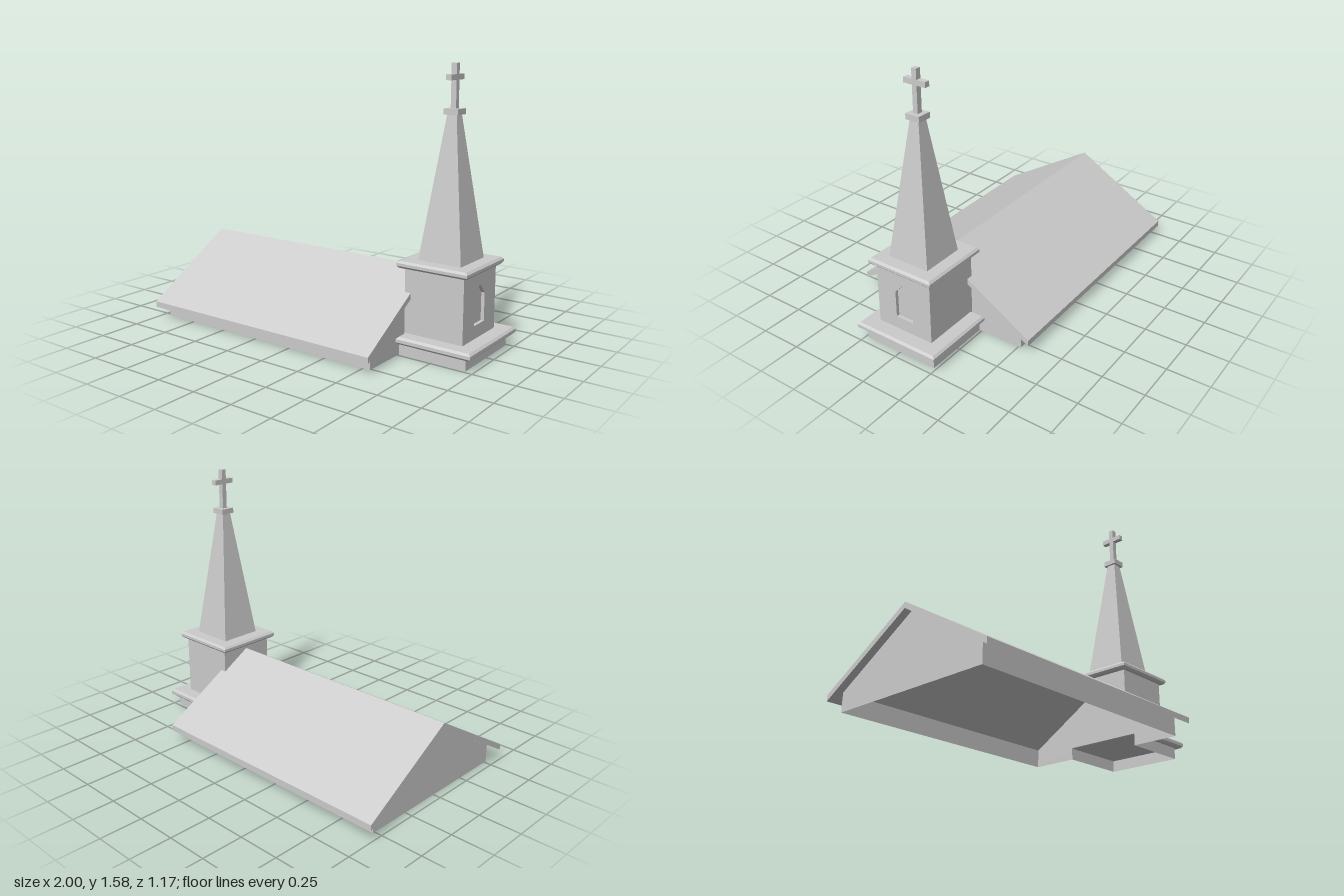
import * as THREE from 'three';

const TOWER_X = 0.725;

export function createModel() {
  const model = new THREE.Group();
  const solid = new THREE.MeshStandardMaterial({ color: 0xcccccc, flatShading: true });
  const sheet = new THREE.MeshStandardMaterial({ color: 0xcccccc, flatShading: true, side: THREE.DoubleSide });

  const add = (name, geometry, material = solid) => {
    const mesh = new THREE.Mesh(geometry, material);
    mesh.name = name;
    model.add(mesh);
    return mesh;
  };
  const outline = (points) => new THREE.Shape(points.map(([x, y]) => new THREE.Vector2(x, y)));
  const box = (name, x0, x1, y0, y1, halfZ) =>
    add(name, new THREE.BoxGeometry(x1 - x0, y1 - y0, 2 * halfZ))
      .position.set((x0 + x1) / 2, (y0 + y1) / 2, 0);
  // Section drawn across z and y, drawn out along x
  const alongX = (name, shape, x0, x1) =>
    add(name, new THREE.ExtrudeGeometry(shape, { depth: x1 - x0, bevelEnabled: false })
      .rotateY(Math.PI / 2).translate(x0, 0, 0));
  // Flat sheet facing along x
  const sheetAtX = (name, shape, x) =>
    add(name, new THREE.ShapeGeometry(shape).rotateY(Math.PI / 2).translate(x, 0, 0), sheet);
  // Wall sheet running along x
  const sideWall = (name, x0, x1, height, z) =>
    add(name, new THREE.PlaneGeometry(x1 - x0, height), sheet)
      .position.set((x0 + x1) / 2, height / 2, z);
  // Slab with chamfered edges
  const ledge = (name, x0, x1, y0, y1, halfZ) => {
    const b = 0.012;
    const shape = outline([[x0 + b, -halfZ + b], [x1 - b, -halfZ + b], [x1 - b, halfZ - b], [x0 + b, halfZ - b]]);
    const geometry = new THREE.ExtrudeGeometry(shape, {
      depth: y1 - y0 - 2 * b, bevelThickness: b, bevelSize: b, bevelSegments: 1,
    });
    add(name, geometry.rotateX(-Math.PI / 2).translate(0, y0 + b, 0));
  };

  // Nave roof
  alongX('naveRoof', outline([
    [-0.587, 0.065], [0, 0.415], [0.587, 0.065], [0.587, 0.1], [0, 0.45], [-0.587, 0.1],
  ]), -1, 0.582);

  // Nave walls, open underneath; the front gable opens into the tower base
  sheetAtX('backGable', outline([
    [-0.515, 0], [0.515, 0], [0.515, 0.107], [0, 0.415], [-0.515, 0.107],
  ]), -0.955);
  sheetAtX('frontGable', outline([
    [-0.515, 0], [-0.235, 0], [-0.235, 0.07], [0.235, 0.07], [0.235, 0],
    [0.515, 0], [0.515, 0.107], [0, 0.415], [-0.515, 0.107],
  ]), 0.545);
  for (const side of [-1, 1]) {
    sideWall('naveSideWall', -0.955, 0.545, 0.107, side * 0.515);
    sideWall('towerBaseSideWall', 0.545, 0.955, 0.075, side * 0.235);
  }

  // Tower base front and ledge
  sheetAtX('towerBaseFront', outline([[-0.235, 0], [0.235, 0], [0.235, 0.075], [-0.235, 0.075]]), 0.955);
  ledge('towerBaseLedge', 0.545, 0.997, 0.068, 0.11, 0.27);

  // Tower body with a recessed pointed window in its front
  box('towerBody', 0.545, 0.885, 0.1, 0.485, 0.182);
  const front = outline([[-0.182, 0.1], [0.182, 0.1], [0.182, 0.485], [-0.182, 0.485]]);
  front.holes.push(outline([
    [-0.057, 0.185], [-0.057, 0.345], [0, 0.405], [0.057, 0.345], [0.057, 0.185],
  ]));
  alongX('towerFrontWithWindow', front, 0.885, 0.905);
  ledge('towerCornice', 0.507, 0.937, 0.478, 0.518, 0.212);

  // Spire: four sides, turned square to the tower
  const spire = new THREE.CylinderGeometry(0.028 * Math.SQRT2, 0.131 * Math.SQRT2, 0.795, 4);
  add('spire', spire.rotateY(Math.PI / 4)).position.set(TOWER_X, 0.9125, 0);
  box('spireCap', TOWER_X - 0.043, TOWER_X + 0.043, 1.305, 1.337, 0.044);

  // Cross
  box('crossUpright', TOWER_X - 0.016, TOWER_X + 0.016, 1.335, 1.575, 0.015);
  box('crossArm', TOWER_X - 0.016, TOWER_X + 0.016, 1.487, 1.517, 0.07);

  return model;
}
